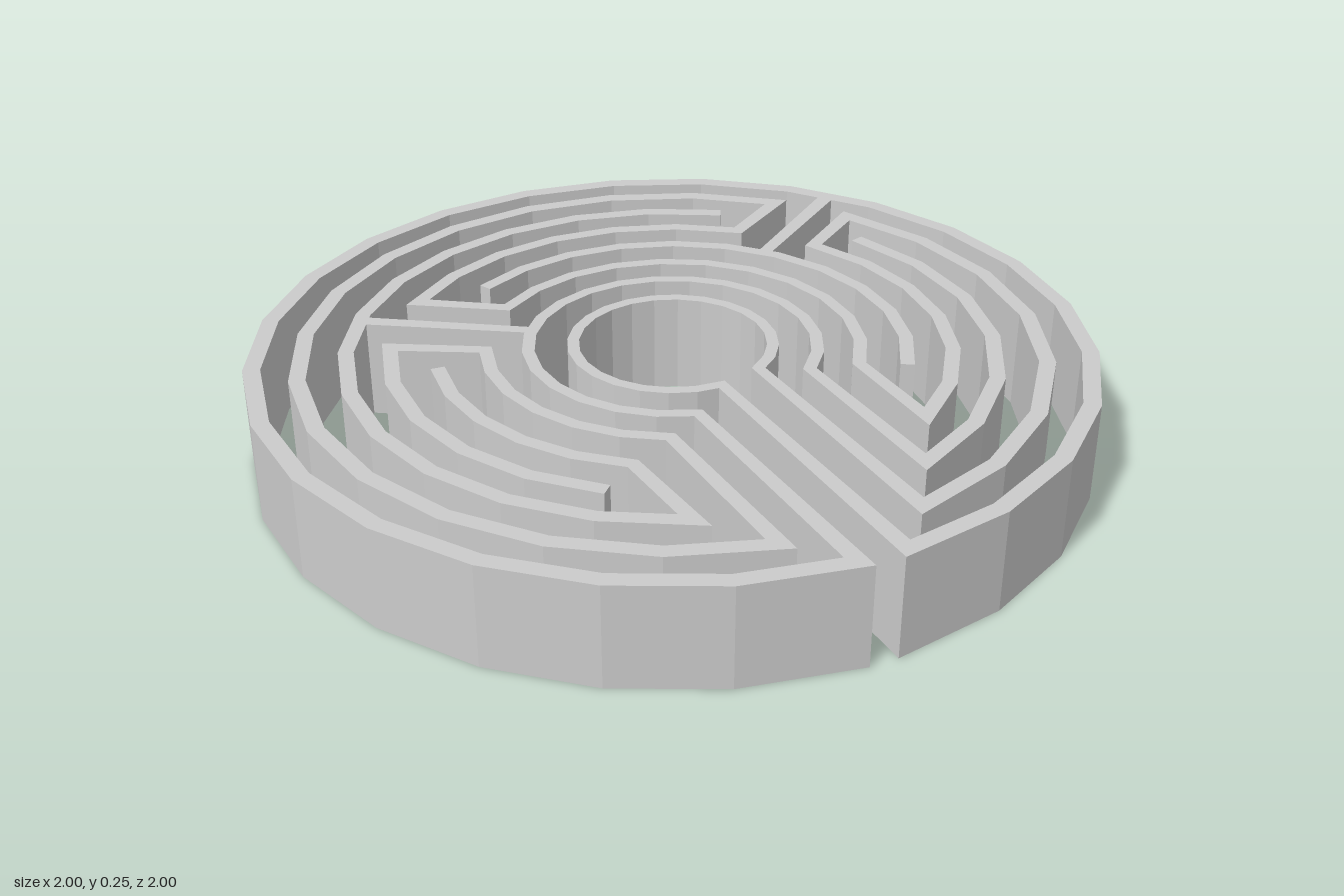
import * as THREE from 'three';

const HEIGHT = 0.245;
const STEP = 15; // degrees per facet

// Point on a ring; angles run clockwise from the back, seen from above
const polar = (r, deg) => {
  const a = THREE.MathUtils.degToRad(deg);
  return new THREE.Vector2(r * Math.sin(a), r * Math.cos(a));
};

// Chain of arcs [radius, from, to] joined by straight walls; equal angles give one point
function wallPath(arcs) {
  const points = [];
  for (const [r, from, to] of arcs) {
    const n = Math.round(Math.abs(to - from) / STEP);
    for (let i = 0; i <= n; i++) points.push(polar(r, n ? from + ((to - from) * i) / n : from));
  }
  return points;
}

// Mitred strip around a path; walls get slightly thicker towards the rim
function buildWall(name, arcs, material) {
  const path = wallPath(arcs);
  const left = [], right = [];
  path.forEach((p, i) => {
    const prev = path[Math.max(i - 1, 0)];
    const next = path[Math.min(i + 1, path.length - 1)];
    const dirIn = (i ? p.clone().sub(prev) : next.clone().sub(p)).normalize();
    const dirOut = (i < path.length - 1 ? next.clone().sub(p) : dirIn.clone()).normalize();
    const normal = new THREE.Vector2(-dirIn.y - dirOut.y, dirIn.x + dirOut.x).normalize();
    const cos = normal.x * -dirIn.y + normal.y * dirIn.x;
    normal.multiplyScalar((0.024 + 0.017 * p.length()) / 2 / cos);
    left.push(p.clone().add(normal));
    right.unshift(p.clone().sub(normal));
  });
  const geometry = new THREE.ExtrudeGeometry(new THREE.Shape([...left, ...right]), {
    depth: HEIGHT, bevelEnabled: false,
  });
  geometry.rotateX(-Math.PI / 2);
  const mesh = new THREE.Mesh(geometry, material);
  mesh.name = name;
  return mesh;
}

export function createModel() {
  const group = new THREE.Group();
  group.name = 'labyrinth';
  const material = new THREE.MeshStandardMaterial({ color: 0xcccccc, flatShading: true });

  const walls = {
    // One continuous wall: rim, entrance corridor, centre and most turns
    mainWall: [
      [0.762, 67.6, 163.5],
      [0.343, 141, -161.5],
      [0.98, -173.7, 180],
      [0.237, -180, 151.5],
      [0.875, 172.6, 60.6],
      [0.66, 62, 150.2],
      [0.445, 132, -38.3],
      [0.663, -43.8, 43.1],
      [0.877, 46.8, -166.1],
      [0.442, -151.5, -67.5],
      [0.667, -64.6, -140.5],
    ],
    // Hooked wall on the right that runs over the back
    hookWall: [
      [0.558, -75.7, -143.5],
      [0.768, -155.4, 37.6],
    ],
    // Free-standing arc
    innerArc: [[0.555, -30.3, 129.8]],
    // Radial barriers
    rightBarrier: [[0.765, -54, -54], [0.35, -52.3, -52.3]],
    leftBarrier: [[0.555, 53.3, 53.3], [0.972, 54.2, 54.2]],
  };

  for (const [name, arcs] of Object.entries(walls)) group.add(buildWall(name, arcs, material));
  return group;
}
